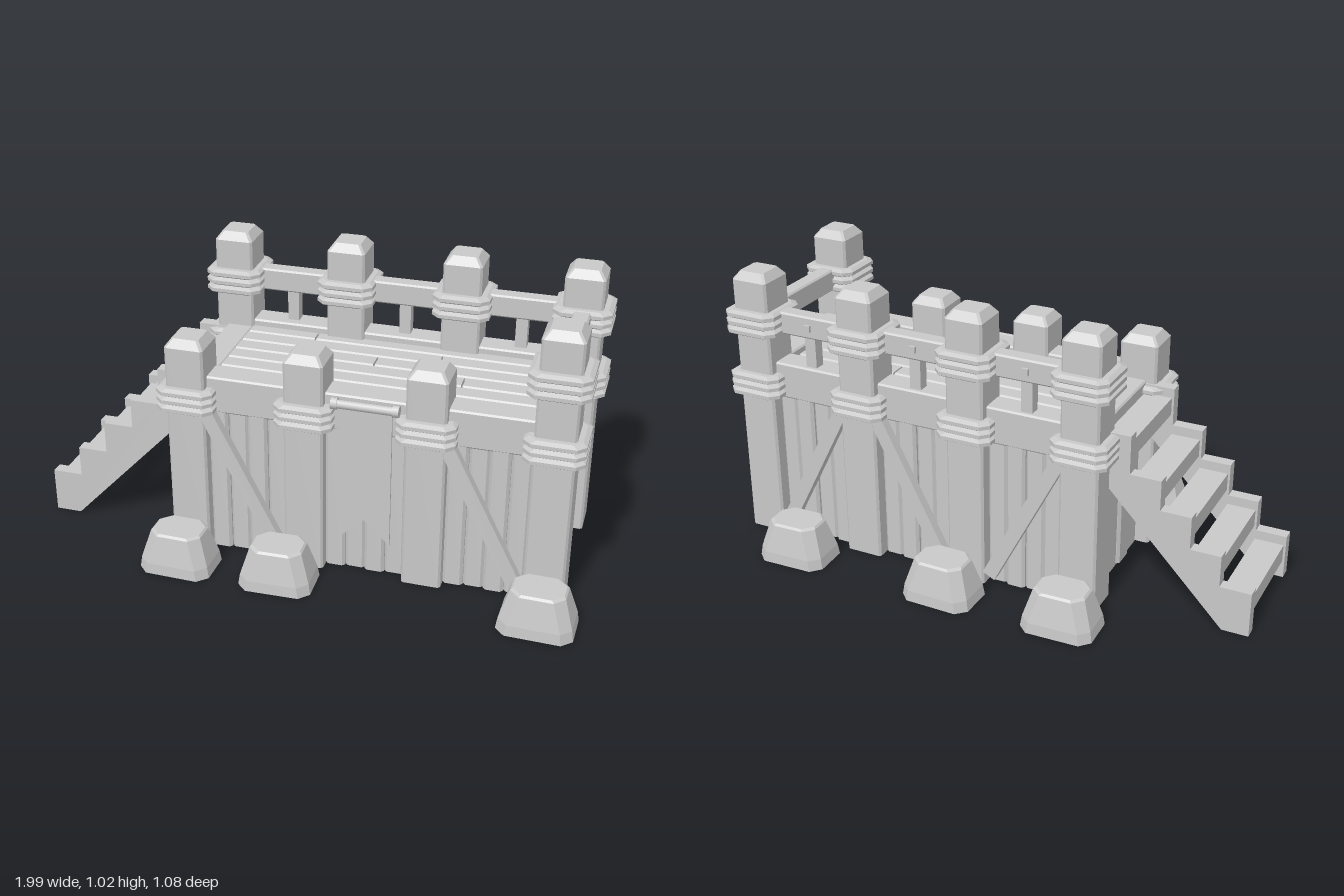
import * as THREE from 'three';

const grey = new THREE.MeshStandardMaterial({ color: 0xc8c8c8 });

// Stack of chamfered rectangles [halfX, halfZ, y], closed at both ends, faceted
function loft(sections, c) {
  const pos = [];
  const rings = sections.map(([a, b, y]) => [
    [a, b - c], [a - c, b], [c - a, b], [-a, b - c],
    [-a, c - b], [c - a, -b], [a - c, -b], [a, c - b],
  ].map(([x, z]) => [x, y, z]));
  const tri = (p, q, r) => pos.push(...p, ...q, ...r);
  for (let i = 0; i < rings.length - 1; i++) {
    for (let j = 0; j < 8; j++) {
      const k = (j + 1) % 8, lo = rings[i], hi = rings[i + 1];
      tri(lo[j], hi[j], hi[k]);
      tri(lo[j], hi[k], lo[k]);
    }
  }
  const bottom = rings[0], top = rings[rings.length - 1];
  for (let j = 1; j < 7; j++) {
    tri(bottom[0], bottom[j], bottom[j + 1]);
    tri(top[0], top[j + 1], top[j]);
  }
  const g = new THREE.BufferGeometry();
  g.setAttribute('position', new THREE.Float32BufferAttribute(pos, 3));
  g.computeVertexNormals();
  return g;
}

export function createModel() {
  const model = new THREE.Group();
  const add = (name, geo, x = 0, y = 0, z = 0) => {
    const m = new THREE.Mesh(geo, grey);
    m.name = name;
    m.position.set(x, y, z);
    model.add(m);
    return m;
  };
  const box = (name, x0, x1, y0, y1, z0, z1) =>
    add(name, new THREE.BoxGeometry(x1 - x0, y1 - y0, z1 - z0),
      (x0 + x1) / 2, (y0 + y1) / 2, (z0 + z1) / 2);
  // Timber with chamfered long edges, lying along the given axis
  const timber = (name, axis, x0, x1, y0, y1, z0, z1, c = 0.006) => {
    const w = x1 - x0, h = y1 - y0, d = z1 - z0;
    const [a, l, b] = axis === 'x' ? [h, w, d] : axis === 'z' ? [w, d, h] : [w, h, d];
    const g = loft([[a / 2, b / 2, -l / 2], [a / 2, b / 2, l / 2]], c);
    if (axis === 'x') g.rotateZ(Math.PI / 2);
    if (axis === 'z') g.rotateX(Math.PI / 2);
    return add(name, g, (x0 + x1) / 2, (y0 + y1) / 2, (z0 + z1) / 2);
  };

  // Posts and rope lashings; the first three front posts are shorter
  const postX = [-0.412, 0.012, 0.436, 0.86];
  const postZ = 0.26, half = 0.07;
  const ropeGeo = loft([
    [0.088, 0.088, 0], [0.103, 0.103, 0.009], [0.103, 0.103, 0.022], [0.088, 0.088, 0.031],
  ], 0.028);
  const lash = (x, y, z) => {
    for (let i = 0; i < 3; i++) add('ropeRing', ropeGeo, x, y + i * 0.031, z);
  };
  postX.forEach((x, i) => {
    for (const s of [-1, 1]) {
      const tall = s < 0 || i === 3;
      const h = tall ? 1.02 : 0.82;
      add('post', loft([[half, half, 0], [half, half, h - 0.03], [0.048, 0.048, h]], 0.008), x, 0, s * postZ);
      lash(x, 0.552, s * postZ);
      if (tall) lash(x, 0.79, s * postZ);
    }
  });

  // Long floor beams, back rail and the right end beam and rail
  for (const s of [-1, 1])
    timber('floorBeam', 'x', postX[0], postX[3], 0.55, 0.685, s * 0.25 - 0.048, s * 0.25 + 0.048);
  timber('backRail', 'x', postX[0], postX[3], 0.797, 0.88, -0.29, -0.23);
  timber('endRail', 'z', 0.83, 0.892, 0.797, 0.88, -postZ, postZ);
  timber('endBeam', 'z', 0.79, 0.892, 0.55, 0.685, -postZ, postZ);

  // Plank walls between the posts, with alternating depth
  const plankWall = (along, from, to, face, sign, n = 4) => {
    const step = (to - from) / n;
    for (let i = 0; i < n; i++) {
      const a = from + i * step, b = a + step;
      const outer = face - (i % 2) * 0.008;
      const lo = sign > 0 ? outer - 0.04 : -outer;
      if (along === 'x') timber('wallPlank', 'y', a, b, 0.003, 0.56, lo, lo + 0.04, 0.01);
      else timber('wallPlank', 'y', lo, lo + 0.04, 0.003, 0.56, a, b, 0.01);
    }
  };
  for (let i = 0; i < 3; i++)
    for (const s of [-1, 1])
      plankWall('x', postX[i] + half, postX[i + 1] - half, 0.296, s);
  plankWall('z', -0.19, 0.19, 0.89, 1);
  plankWall('z', -0.19, 0.19, 0.44, -1);

  // Balusters and pegs in the back rail
  for (let i = 0; i < 3; i++) {
    const x = (postX[i] + postX[i + 1]) / 2;
    box('baluster', x - 0.021, x + 0.021, 0.68, 0.81, -0.281, -0.239);
    box('railPeg', x - 0.012, x + 0.012, 0.827, 0.851, -0.3, -0.28);
  }

  // Diagonal braces
  const brace = (x, s) => {
    const x0 = x + 0.07, x1 = x + 0.335, y0 = 0.56, y1 = 0.04;
    const m = add('brace',
      new THREE.BoxGeometry(0.05, Math.hypot(x1 - x0, y1 - y0), 0.035),
      (x0 + x1) / 2, (y0 + y1) / 2, s * 0.312);
    m.rotation.z = Math.atan2(x1 - x0, y0 - y1);
    return m;
  };
  brace(postX[0], 1);
  brace(postX[2], 1);
  brace(postX[0], -1);
  brace(postX[2], -1);
  const mid = brace(postX[1], -1);
  mid.rotation.z *= -1;
  mid.position.x = postX[1] + 0.22;

  // Deck boards with staggered joints
  const joints = [-0.09, 0.39, 0.17, 0.5, 0.01, 0.25];
  joints.forEach((j, i) => {
    const z0 = -0.222 + i * 0.074, z1 = z0 + 0.07;
    timber('deckBoard', 'x', -0.345, j - 0.003, 0.62, 0.66, z0, z1);
    timber('deckBoard', 'x', j + 0.003, 0.8, 0.62, 0.66, z0, z1);
  });
  box('deckUnderlay', -0.4, 0.8, 0.6, 0.625, -0.21, 0.21);
  timber('landingBoard', 'z', -0.445, -0.345, 0.6, 0.66, -0.2, 0.2);

  // Stairs: two notched stringers with treads set between them
  const edges = [-1, -0.888, -0.778, -0.667, -0.555, -0.44];
  const tops = [0.165, 0.28, 0.4, 0.51, 0.65];
  const side = new THREE.Shape();
  side.moveTo(-0.905, 0);
  side.lineTo(-0.44, 0.485);
  for (let i = 4; i >= 0; i--) {
    side.lineTo(edges[i + 1], tops[i]);
    side.lineTo(edges[i], tops[i]);
  }
  side.lineTo(-1, 0);
  const sideGeo = new THREE.ExtrudeGeometry(side, { depth: 0.045, bevelEnabled: false });
  add('stairStringer', sideGeo, 0, 0, -0.23);
  add('stairStringer', sideGeo, 0, 0, 0.182);
  tops.forEach((t, i) =>
    box('stairTread', edges[i] + 0.008, edges[i + 1] + 0.002, t - 0.1, t - 0.035, -0.19, 0.19));

  // Banner with a swallow tail, hung from a rod
  const cloth = new THREE.Shape();
  [[-0.093, 0.66], [-0.093, 0.135], [0, 0.225], [0.093, 0.135], [0.093, 0.66]]
    .forEach(([x, y], i) => (i ? cloth.lineTo(x, y) : cloth.moveTo(x, y)));
  add('banner', new THREE.ExtrudeGeometry(cloth, { depth: 0.009, bevelEnabled: false }), 0.227, 0, 0.313);
  const rodGeo = new THREE.CylinderGeometry(0.016, 0.016, 0.2, 8).rotateZ(Math.PI / 2);
  add('bannerRod', rodGeo, 0.227, 0.663, 0.322);
  for (const s of [-1, 1])
    add('rodKnob', new THREE.CylinderGeometry(0.021, 0.021, 0.022, 8).rotateZ(Math.PI / 2),
      0.227 + s * 0.106, 0.663, 0.32);

  // Foundation stones
  const stoneGeo = loft([
    [0.13, 0.097, 0], [0.124, 0.094, 0.04], [0.093, 0.072, 0.143], [0.086, 0.064, 0.15],
  ], 0.035);
  [[-0.412, 0.437], [-0.045, 0.437], [0.862, 0.437], [-0.412, -0.437], [0.04, -0.445], [0.642, -0.44]]
    .forEach(([x, z], i) => {
      add('stone', stoneGeo, x, 0, z).rotation.y = i % 2 ? 0.03 : -0.02;
    });

  return model;
}
